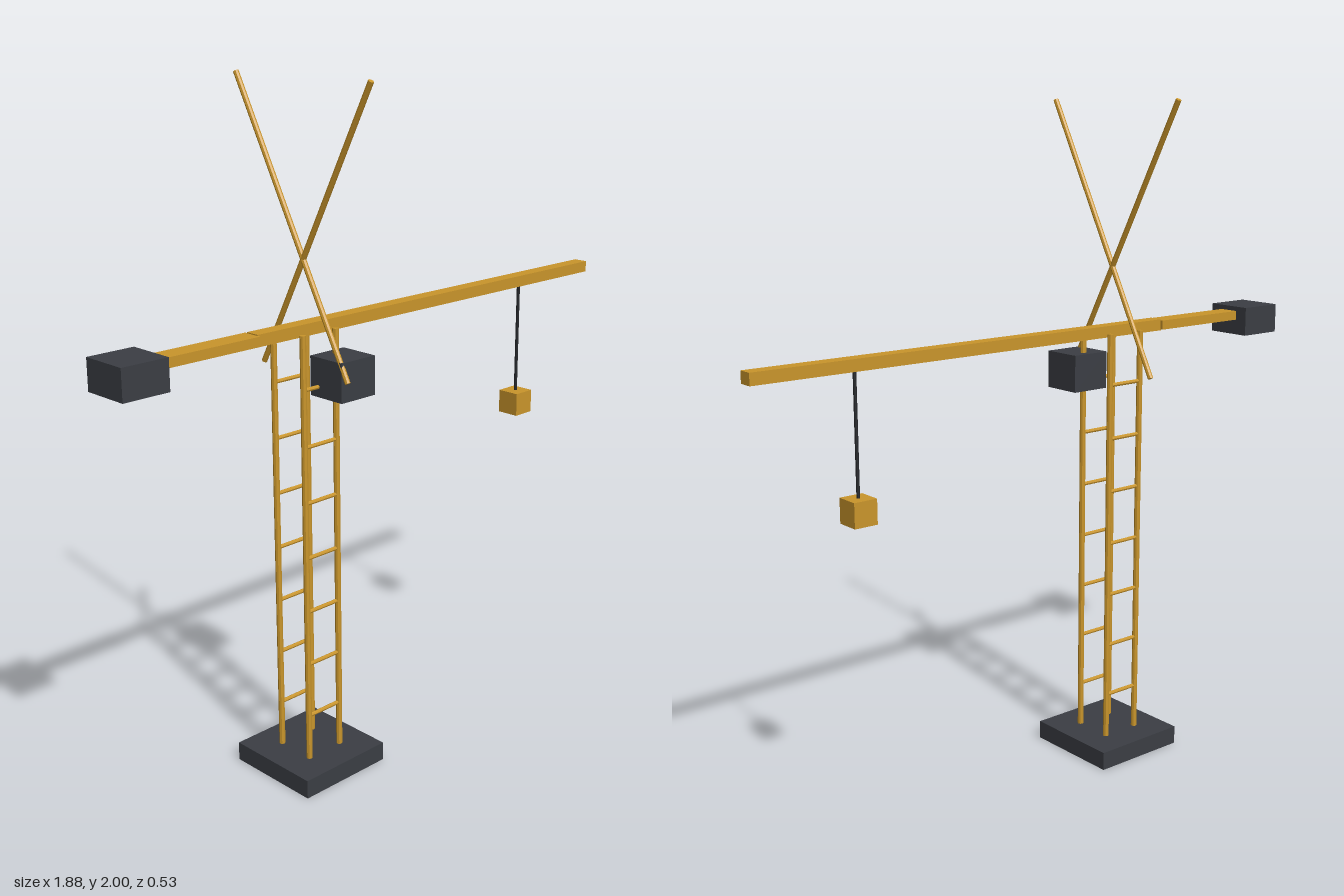
import * as THREE from 'three';

const yellow = new THREE.MeshStandardMaterial({ color: 0xc9952b, flatShading: true });
const dark = new THREE.MeshStandardMaterial({ color: 0x3b3e44, flatShading: true });
const black = new THREE.MeshStandardMaterial({ color: 0x24262a, flatShading: true });

// Box given by its low and high corners
function box(name, lo, hi, material) {
  const a = new THREE.Vector3(...lo), b = new THREE.Vector3(...hi);
  const size = b.clone().sub(a);
  const mesh = new THREE.Mesh(new THREE.BoxGeometry(size.x, size.y, size.z), material);
  mesh.position.copy(a).add(b).multiplyScalar(0.5);
  mesh.name = name;
  return mesh;
}

// Round bar between two points
function bar(name, from, to, radius, material) {
  const a = new THREE.Vector3(...from), b = new THREE.Vector3(...to);
  const dir = b.clone().sub(a);
  const mesh = new THREE.Mesh(new THREE.CylinderGeometry(radius, radius, dir.length(), 8), material);
  mesh.position.copy(a).add(b).multiplyScalar(0.5);
  mesh.quaternion.setFromUnitVectors(new THREE.Vector3(0, 1, 0), dir.normalize());
  mesh.name = name;
  return mesh;
}

export function createModel() {
  const crane = new THREE.Group();
  crane.name = 'towerCrane';
  const mastX = -0.288, half = 0.06;

  // Foundation slab
  crane.add(box('base', [mastX - 0.152, 0, -0.152], [mastX + 0.152, 0.056, 0.152], dark));

  // Mast: four legs, with ladder rungs on the front and back
  const mast = new THREE.Group();
  mast.name = 'mast';
  for (const z of [-half, half]) {
    for (const x of [mastX - half, mastX + half]) {
      mast.add(bar('mastLeg', [x, 0.05, z], [x, 1.327, z], 0.009, yellow));
    }
    for (let i = 0; i < 7; i++) {
      const y = 0.193 + i * 0.1635;
      mast.add(bar('mastRung', [mastX - half, y, z], [mastX + half, y, z], 0.006, yellow));
    }
  }
  crane.add(mast);

  // Crossed struts above the mast
  for (const s of [-1, 1]) {
    crane.add(bar('apexStrut', [mastX, 1.203, s * 0.17], [mastX, 1.996, s * -0.26], 0.008, yellow));
  }

  // Jib, counter jib and counterweight
  crane.add(box('jib', [-0.472, 1.31, -0.022], [0.937, 1.344, 0.022], yellow));
  crane.add(box('counterJib', [-0.85, 1.313, -0.031], [-0.47, 1.341, 0.031], yellow));
  crane.add(box('counterweight', [-0.94, 1.266, -0.072], [-0.798, 1.355, 0.072], dark));

  // Operator cab on the front of the mast
  crane.add(box('cab', [-0.295, 1.145, 0.03], [-0.17, 1.257, 0.153], dark));

  // Hoist cable and hook block
  crane.add(bar('hoistCable', [0.62, 0.95, 0], [0.62, 1.315, 0], 0.005, black));
  crane.add(box('hookBlock', [0.584, 0.893, -0.036], [0.656, 0.965, 0.036], yellow));

  return crane;
}
